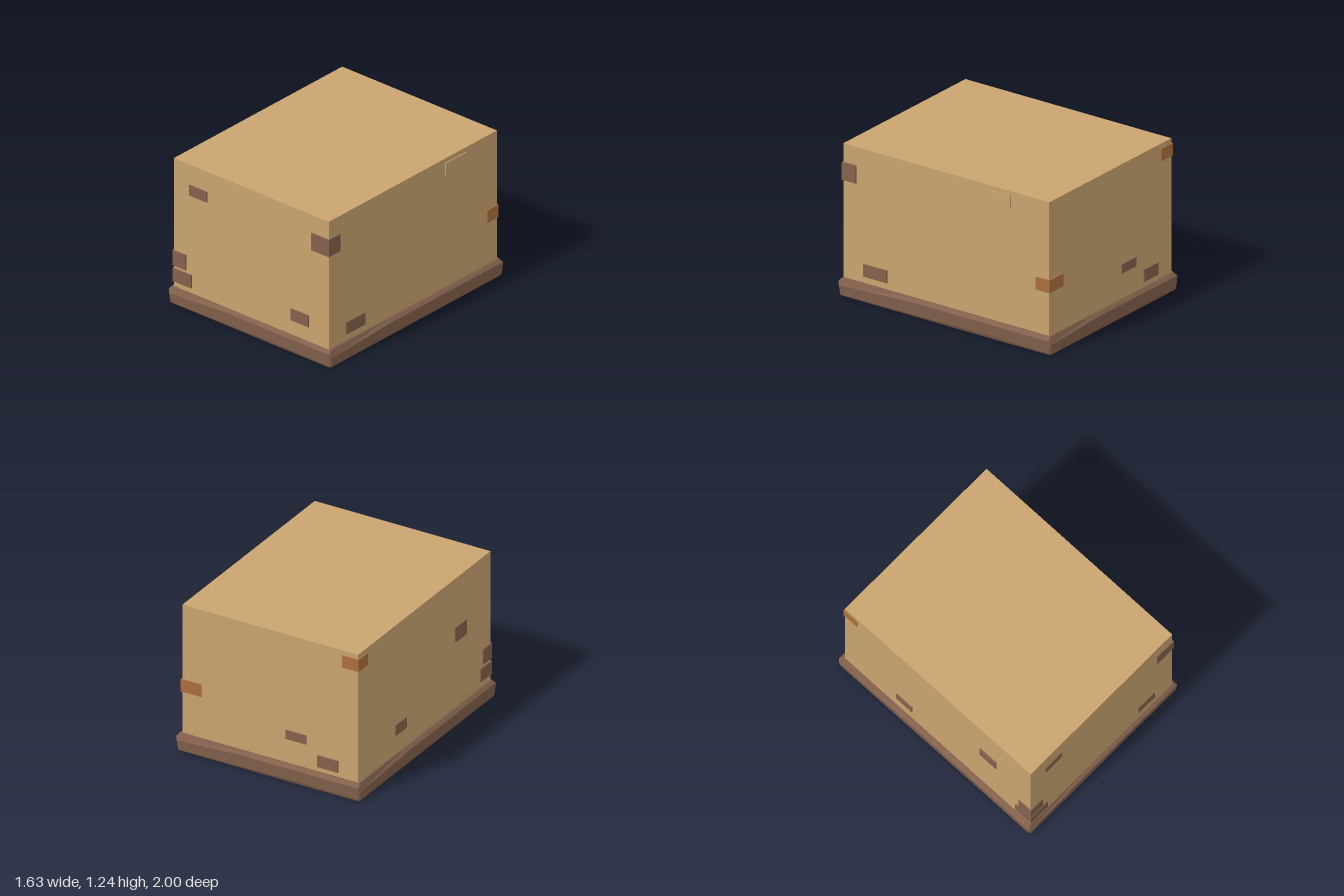
import * as THREE from 'three';

const mat = (name, color) => Object.assign(new THREE.MeshStandardMaterial({ color }), { name });

export function createModel() {
  const model = new THREE.Group();
  model.name = 'brickBlock';
  const plaster = mat('sandPlaster', 0xc9a46f);
  const brown = mat('brownBrick', 0x83614c);
  const orange = mat('orangeBrick', 0xab6f3c);

  // Box between two corners
  function block(name, material, x0, x1, y0, y1, z0, z1) {
    const mesh = new THREE.Mesh(new THREE.BoxGeometry(x1 - x0, y1 - y0, z1 - z0), material);
    mesh.position.set((x0 + x1) / 2, (y0 + y1) / 2, (z0 + z1) / 2);
    mesh.name = name;
    model.add(mesh);
  }

  // Main walls
  const X = 0.775, F = 0.973, B = -0.96;
  block('walls', plaster, -X, X, 0.1, 1.242, B, F);

  // Rough-hewn plinth: rings of points joined from bottom to top
  const along = [0, 0.35, 0.75, 1];
  const cut = 0.014;
  function ring(hx, hz, heights) {
    const points = [];
    for (let side = 0; side < 4; side++) {
      const a = side * Math.PI / 2;
      const half = side % 2 ? hz : hx, out = side % 2 ? hx : hz;
      along.forEach((t, i) => {
        const u = (t * 2 - 1) * (half - cut);
        points.push(new THREE.Vector3(u, heights[i], out).applyAxisAngle(new THREE.Vector3(0, 1, 0), a));
      });
    }
    return points;
  }
  const rings = [
    ring(0.795, 0.982, [0, 0, 0, 0]),
    ring(0.806, 0.992, [0.01, 0.015, 0.025, 0.015]),
    ring(0.815, 1.0, [0.09, 0.12, 0.12, 0.118]),
    ring(0.79, 0.974, [0.147, 0.147, 0.147, 0.147]),
  ];
  const tris = [];
  const n = rings[0].length;
  const low = new THREE.Vector3(0, 0, 0), high = new THREE.Vector3(0, 0.147, 0);
  for (let i = 0; i < n; i++) {
    const j = (i + 1) % n;
    for (let r = 0; r < rings.length - 1; r++) {
      const a = rings[r], b = rings[r + 1];
      tris.push(a[i], a[j], b[j], a[i], b[j], b[i]);
    }
    tris.push(low, rings[0][j], rings[0][i]);
    tris.push(high, rings[3][i], rings[3][j]);
  }
  const plinthGeometry = new THREE.BufferGeometry().setFromPoints(tris);
  plinthGeometry.computeVertexNormals();
  const plinth = new THREE.Mesh(plinthGeometry, brown);
  plinth.name = 'plinth';
  model.add(plinth);

  // Bricks showing through each wall
  const d = 0.009;
  const front = (m, x0, x1, y0, y1) => block('frontBrick', m, x0, x1, y0, y1, F - d, F + d);
  const back = (m, x0, x1, y0, y1) => block('backBrick', m, x0, x1, y0, y1, B - d, B + d);
  const left = (m, z0, z1, y0, y1) => block('leftBrick', m, X - d, X + d, y0, y1, z0, z1);
  const right = (m, z0, z1, y0, y1) => block('rightBrick', m, -X - d, -X + d, y0, y1, z0, z1);

  front(brown, -0.615, -0.44, 0.98, 1.07);
  front(brown, 0.4, 0.575, 0.27, 0.37);
  back(brown, -0.32, -0.14, 0.35, 0.425);
  back(brown, -0.6, -0.42, 0.185, 0.285);
  left(brown, 0.56, 0.782, 0.2, 0.302);
  left(plaster, -0.6, -0.365, 1.1, 1.205);
  right(brown, 0.45, 0.615, 0.7, 0.825);
  right(brown, -0.42, -0.26, 0.3, 0.39);

  // Bricks wrapping the corners
  block('cornerBrick', brown, 0.605, X + d, 0.943, 1.09, 0.85, F + d);
  block('cornerBrick', brown, -X - d, -0.65, 0.325, 0.455, 0.855, F + d);
  block('cornerBrick', brown, -X - d, -0.595, 0.19, 0.302, 0.82, F + d);
  block('cornerBrick', orange, 0.605, X + d, 0.5, 0.605, B - d, -0.84);
  block('cornerBrick', orange, -X - d, -0.64, 1.1, 1.202, B - d, -0.83);
  return model;
}
